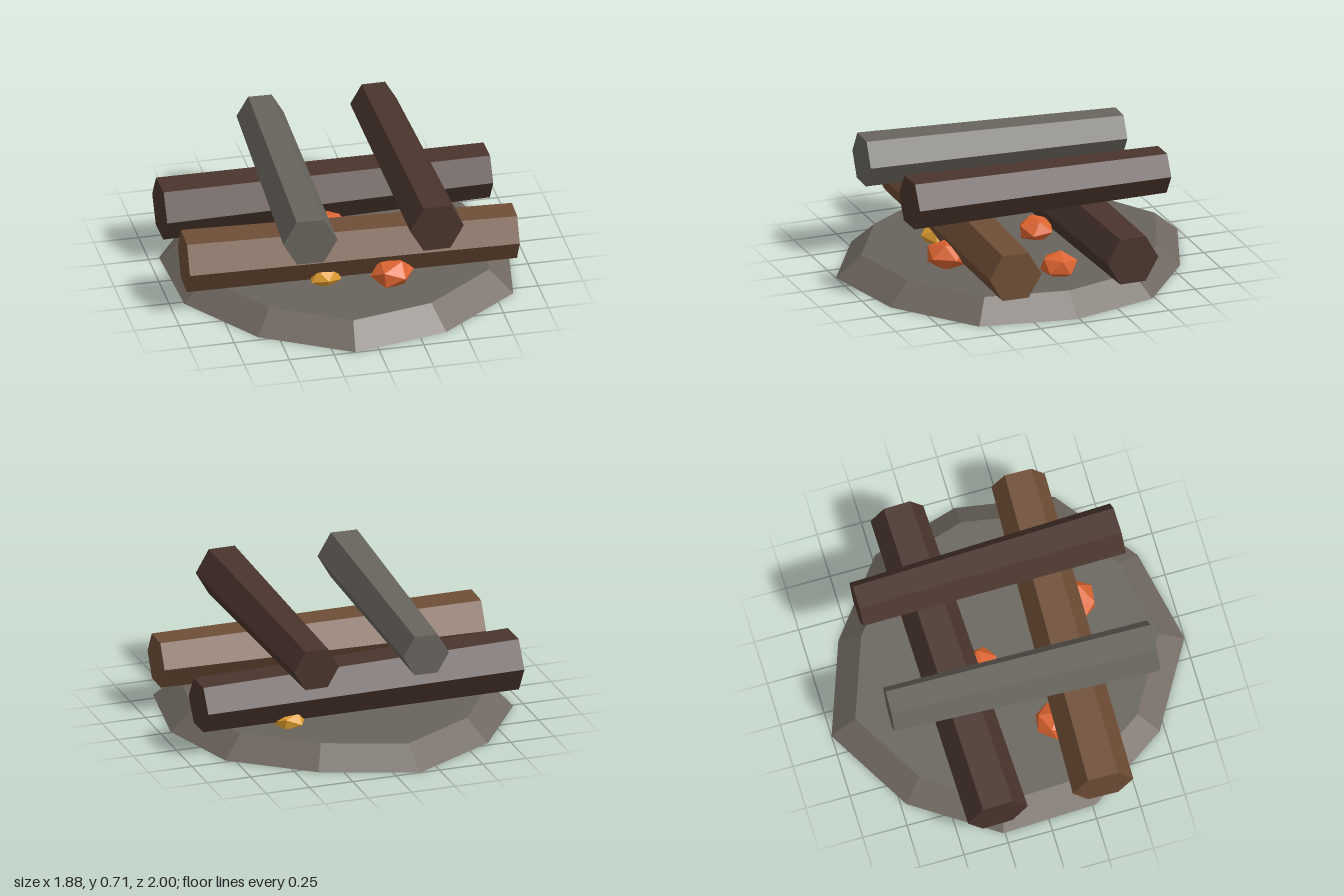
import * as THREE from 'three';

const paint = (name, color, side = THREE.FrontSide) => {
  const m = new THREE.MeshStandardMaterial({ color, flatShading: true, side });
  m.name = name;
  return m;
};

export function createModel() {
  const model = new THREE.Group();
  model.name = 'campfire';

  const stone = paint('warm stone', 0x706860);
  const ash = paint('ash grey', 0x68645d);
  const bark = paint('brown bark', 0x6f4e36);
  const char = paint('charred bark', 0x4a352d);
  const ember = paint('ember orange', 0xdc6430);
  const glow = paint('ember yellow', 0xdc9c2e);

  const add = (name, geometry, material) => {
    const mesh = new THREE.Mesh(geometry, material);
    mesh.name = name;
    model.add(mesh);
    return mesh;
  };

  // Hearth slab: an uneven eleven-sided outline, drawn in towards the top
  const outline = [
    [-0.14, -1], [0.38, -0.81], [0.8, -0.48], [0.94, 0.01], [0.85, 0.55], [0.4, 0.89],
    [-0.13, 1], [-0.61, 0.72], [-0.92, 0.27], [-0.94, -0.26], [-0.63, -0.72],
  ];
  const n = outline.length, top = 0.12, inset = 0.86;
  const hearth = new THREE.CylinderGeometry(1, 1, top, n, 1);
  const pos = hearth.attributes.position;
  for (let i = 0; i < pos.count; i++) {
    const x = pos.getX(i), z = pos.getZ(i), up = pos.getY(i) > 0;
    const s = up ? inset : 1;
    if (Math.hypot(x, z) < 0.01) {
      pos.setXYZ(i, 0, up ? top : 0, 0);
      continue;
    }
    // the cylinder runs anticlockwise from above, the outline clockwise
    const step = Math.round(Math.atan2(x, z) / (Math.PI * 2) * n);
    const [ox, oz] = outline[((-step % n) + n) % n];
    pos.setXYZ(i, ox * s, up ? top : 0, oz * s);
  }
  hearth.computeVertexNormals();
  add('hearth', hearth, [stone, ash, stone]);

  // Logs: tapered hexagonal bars from a thick end to a thin end
  const addLog = (name, from, to, thick, thin, material) => {
    const a = new THREE.Vector3(...from), b = new THREE.Vector3(...to);
    const geometry = new THREE.CylinderGeometry(thin, thick, a.distanceTo(b), 6, 1);
    geometry.rotateY(Math.PI / 2).rotateX(Math.PI / 2);
    const log = add(name, geometry, material);
    log.position.copy(a).lerp(b, 0.5);
    log.lookAt(b);
  };
  addLog('frontLog', [-0.93, 0.288, 0.307], [0.9, 0.28, 0.358], 0.17, 0.15, bark);
  addLog('backLog', [-0.93, 0.288, -0.288], [0.9, 0.28, -0.328], 0.17, 0.15, char);
  addLog('upperLeftLog', [0.375, 0.585, 0.77], [0.357, 0.563, -0.715], 0.15, 0.13, char);
  addLog('upperRightLog', [-0.33, 0.585, 0.77], [-0.275, 0.563, -0.715], 0.15, 0.13, ash);

  // Embers: squashed, turned icosahedra, [x, y, z, radius, height scale, turn]
  const addEmbers = (name, list, material) => list.forEach(([x, y, z, r, squash, turn], i) => {
    const geometry = new THREE.IcosahedronGeometry(r, 0);
    geometry.rotateX(turn).rotateZ(turn * 0.7).scale(1.1, squash, 1);
    add(name + (i + 1), geometry, material).position.set(x, y, z);
    model.children.at(-1).rotation.y = turn;
  });
  addEmbers('ember', [
    [0.19, 0.175, 0.48, 0.115, 0.72, 0.5],
    [0.545, 0.17, -0.035, 0.1, 0.8, 1.3],
    [-0.03, 0.165, -0.13, 0.105, 0.7, 2.4],
    [-0.45, 0.17, 0.16, 0.1, 0.8, 3.6],
  ], ember);
  addEmbers('glowingEmber', [
    [-0.165, 0.155, 0.39, 0.095, 0.7, 0.9],
    [0.4, 0.145, -0.37, 0.095, 0.6, 2.1],
  ], glow);

  return model;
}
